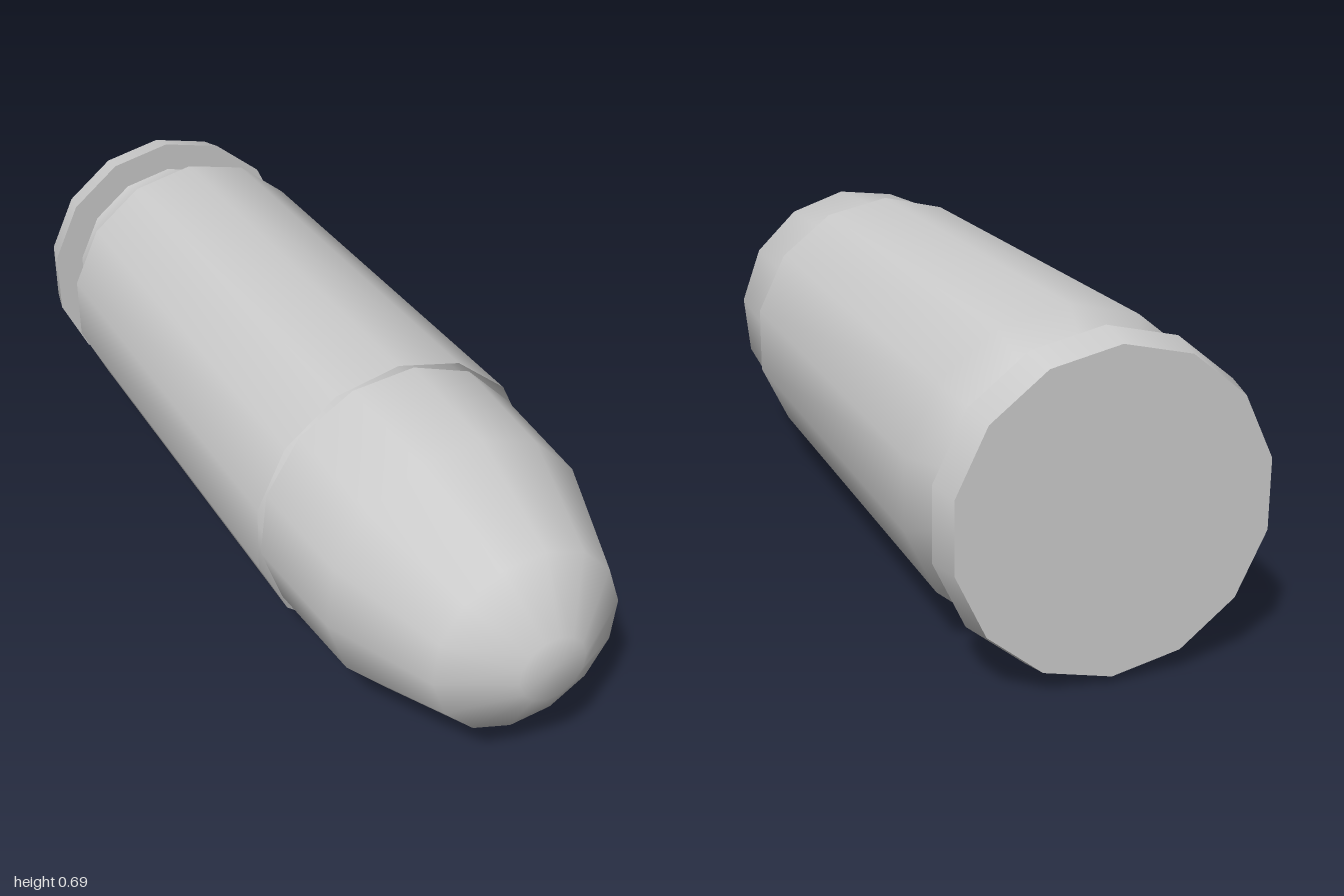
import * as THREE from 'three';

const SIDES = 14;
const AXIS_Y = 0.345;

// Revolve (radius, z) profiles around the long axis; listed back to front
function revolve(name, profile, turn = 0) {
  const points = profile.map(([r, z]) => new THREE.Vector2(r, z));
  const geometry = new THREE.LatheGeometry(points, SIDES, turn, Math.PI * 2);
  geometry.rotateX(Math.PI / 2);
  const material = new THREE.MeshStandardMaterial({ color: 0xcccccc, side: THREE.DoubleSide });
  const mesh = new THREE.Mesh(geometry, material);
  mesh.name = name;
  mesh.position.y = AXIS_Y;
  return mesh;
}

export function createModel() {
  const model = new THREE.Group();
  model.name = 'cartridge';

  // Rim: flat base, slightly flared edge and front shoulder, with sharp edges
  const rim = new THREE.Group();
  rim.name = 'rim';
  rim.add(
    revolve('rimBase', [[0, -1], [0.329, -1]]),
    revolve('rimEdge', [[0.329, -1], [0.345, -0.925]]),
    revolve('rimShoulder', [[0.345, -0.925], [0.272, -0.925]])
  );
  model.add(rim);

  // Case: extractor groove, chamfer and straight wall, open at the mouth
  model.add(revolve('case', [[0.272, -0.925], [0.272, -0.83], [0.345, -0.765], [0.345, 0.37]]));

  // Bullet: rounded nose seated just inside the case, turned slightly
  model.add(revolve('bullet',
    [[0.333, 0.37], [0.316, 0.65], [0.217, 0.91], [0.077, 1], [0, 1]], -0.11));

  return model;
}
